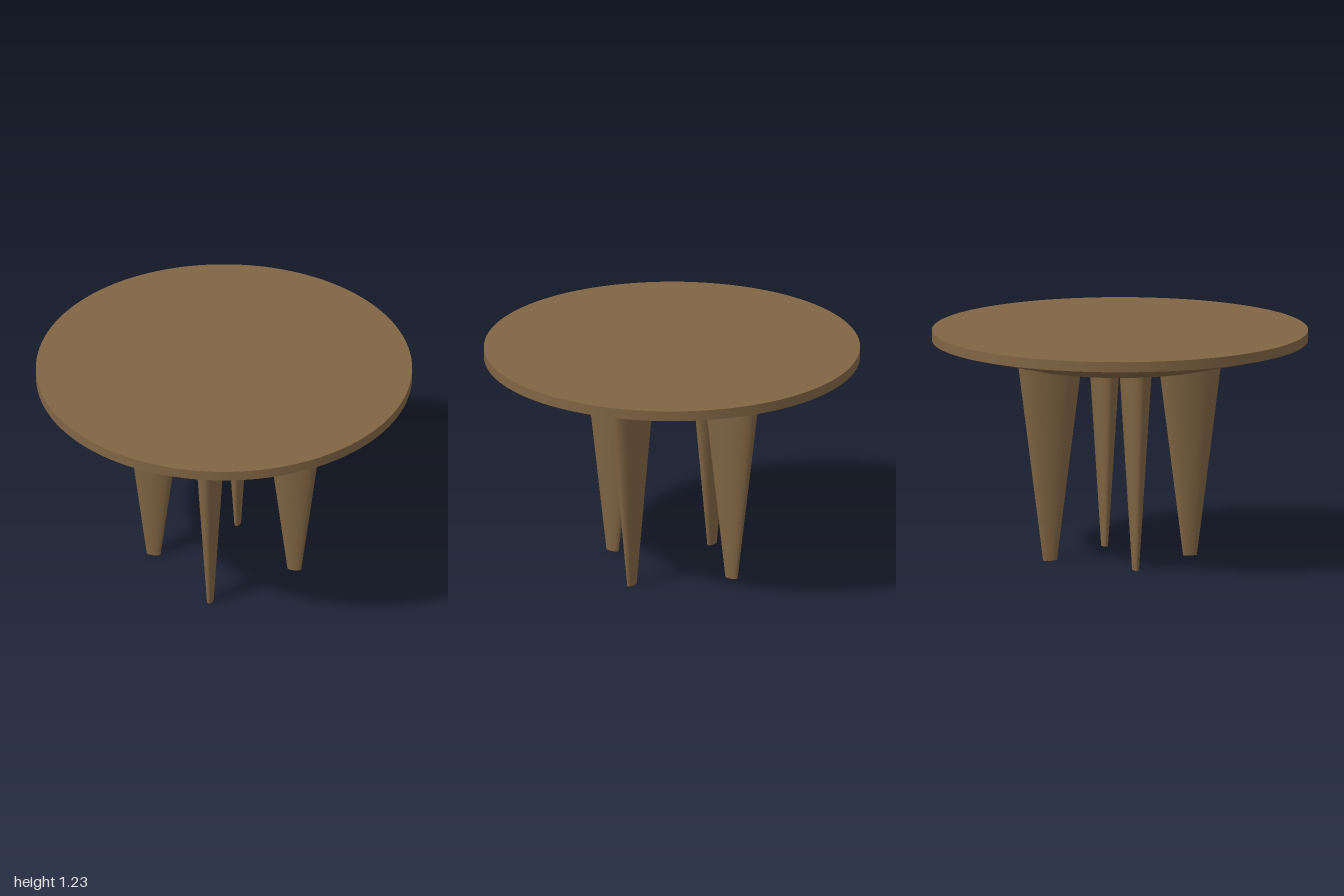
import * as THREE from 'three';
import { toCreasedNormals } from 'three/addons/utils/BufferGeometryUtils.js';

export function createModel() {
  const table = new THREE.Group();
  table.name = 'roundTable';
  const wood = new THREE.MeshStandardMaterial({ color: 0x806543 });

  // Round top: flat underside, shallow bevel, thin upright rim
  const profile = [[0, 1.07], [0.575, 1.07], [1, 1.175], [1, 1.23], [0, 1.23]]
    .map(([r, y]) => new THREE.Vector2(r, y));
  const top = new THREE.Mesh(toCreasedNormals(new THREE.LatheGeometry(profile, 128), 0.15), wood);
  top.name = 'tableTop';
  table.add(top);

  // Four tapered legs of oval section, long axis pointing outward
  const height = 1.07;
  const legGeometry = new THREE.CylinderGeometry(1, 0.215, height, 64);
  legGeometry.scale(0.174, 1, 0.079);
  const legRadius = 0.381;
  const firstAngle = Math.atan2(0.302, 0.232);
  for (let i = 0; i < 4; i++) {
    const angle = firstAngle + i * Math.PI / 2;
    const leg = new THREE.Mesh(legGeometry, wood);
    leg.name = `leg${i + 1}`;
    leg.position.set(legRadius * Math.cos(angle), height / 2, legRadius * Math.sin(angle));
    leg.rotation.y = -angle;
    table.add(leg);
  }
  return table;
}
